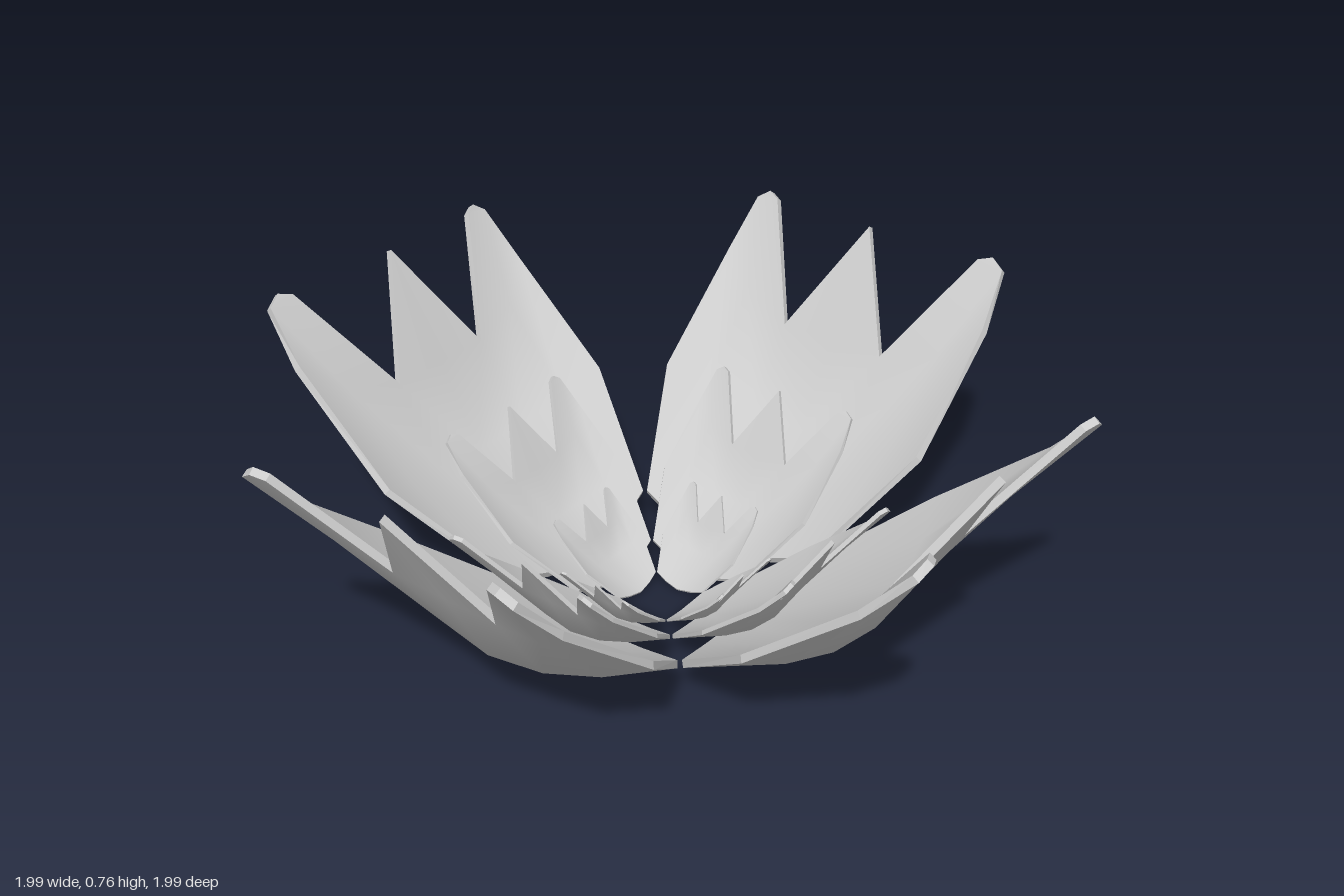
import * as THREE from 'three';

// Half of one petal (x >= 0), outer face, pointing towards +z
const HALF = [
  [0, 0.035, 0.25], [0.15, 0.06, 0.265], [0.28, 0.10, 0.29],                       // base: 0-2
  [0, 0.23, 0.66], [0.16, 0.245, 0.645], [0.31, 0.285, 0.61], [0.43, 0.34, 0.57],  // widest row: 3-6
  [0, 0.47, 0.79], [0.16, 0.47, 0.79], [0.32, 0.51, 0.82], [0.43, 0.60, 0.87],     // notch row: 7-10
  [0, 0.76, 0.955], [0.33, 0.745, 0.98], [0.405, 0.73, 0.985], [0.365, 0.755, 0.995], // points: 11-14
];
const FACES = [
  [0, 1, 4, 3], [1, 2, 5, 4], [2, 6, 5],
  [3, 4, 8, 7], [4, 5, 9, 8], [5, 6, 10, 9],
  [7, 8, 11], [8, 9, 12], [9, 10, 13], [9, 13, 12], [12, 13, 14],
];
const RIM = [0, 1, 2, 6, 10, 13, 14, 12, 8, 11];
const THICKNESS = 0.02;

// Thin solid petal: outer sheet, inner sheet offset along the normals, and a rim
function petalGeometry() {
  const points = HALF.map((p) => p.slice());
  const mirror = HALF.map(([x, y, z], i) => (x === 0 ? i : points.push([-x, y, z]) - 1));
  const sheet = [];
  for (const f of FACES) {
    for (let k = 1; k < f.length - 1; k++) {
      const [a, b, c] = [f[0], f[k], f[k + 1]];
      sheet.push(a, b, c, mirror[a], mirror[c], mirror[b]);
    }
  }
  const outer = new THREE.BufferGeometry();
  outer.setAttribute('position', new THREE.Float32BufferAttribute(points.flat(), 3));
  outer.setIndex(sheet);
  outer.computeVertexNormals();
  const n = outer.attributes.normal;
  const inner = points.map((p, i) => [
    p[0] - n.getX(i) * THICKNESS, p[1] - n.getY(i) * THICKNESS, p[2] - n.getZ(i) * THICKNESS,
  ]);

  const pos = [], nor = [];
  const normalOf = (i, s) => [n.getX(i) * s, n.getY(i) * s, n.getZ(i) * s];
  for (let t = 0; t < sheet.length; t += 3) {
    const [a, b, c] = sheet.slice(t, t + 3);
    for (const i of [a, b, c]) { pos.push(...points[i]); nor.push(...normalOf(i, 1)); }
    for (const i of [a, c, b]) { pos.push(...inner[i]); nor.push(...normalOf(i, -1)); }
  }
  // rim quads with their own flat normals
  const loop = [...RIM, ...RIM.slice(1, -1).reverse().map((i) => mirror[i])];
  const tri = new THREE.Triangle(), fn = new THREE.Vector3();
  loop.forEach((a, k) => {
    const b = loop[(k + 1) % loop.length];
    for (const corners of [[points[b], points[a], inner[a]], [points[b], inner[a], inner[b]]]) {
      tri.set(...corners.map((c) => new THREE.Vector3(...c))).getNormal(fn);
      for (const c of corners) { pos.push(...c); nor.push(fn.x, fn.y, fn.z); }
    }
  });
  const g = new THREE.BufferGeometry();
  g.setAttribute('position', new THREE.Float32BufferAttribute(pos, 3));
  g.setAttribute('normal', new THREE.Float32BufferAttribute(nor, 3));
  return g;
}

export function createModel() {
  const group = new THREE.Group();
  group.name = 'flower';
  const geometry = petalGeometry();
  const material = new THREE.MeshStandardMaterial({ color: 0xcccccc });

  // Three nested rings of four petals, each ring a smaller copy
  const rings = [['outerPetal', 1], ['middlePetal', 0.555], ['innerPetal', 0.28]];
  for (const [name, scale] of rings) {
    const ring = new THREE.Group();
    ring.name = name + 'Ring';
    for (let i = 0; i < 4; i++) {
      const petal = new THREE.Mesh(geometry, material);
      petal.name = name;
      petal.scale.setScalar(scale);
      petal.rotation.y = i * Math.PI / 2;
      ring.add(petal);
    }
    group.add(ring);
  }
  group.position.set(0, -0.005, -0.003);
  return group;
}
